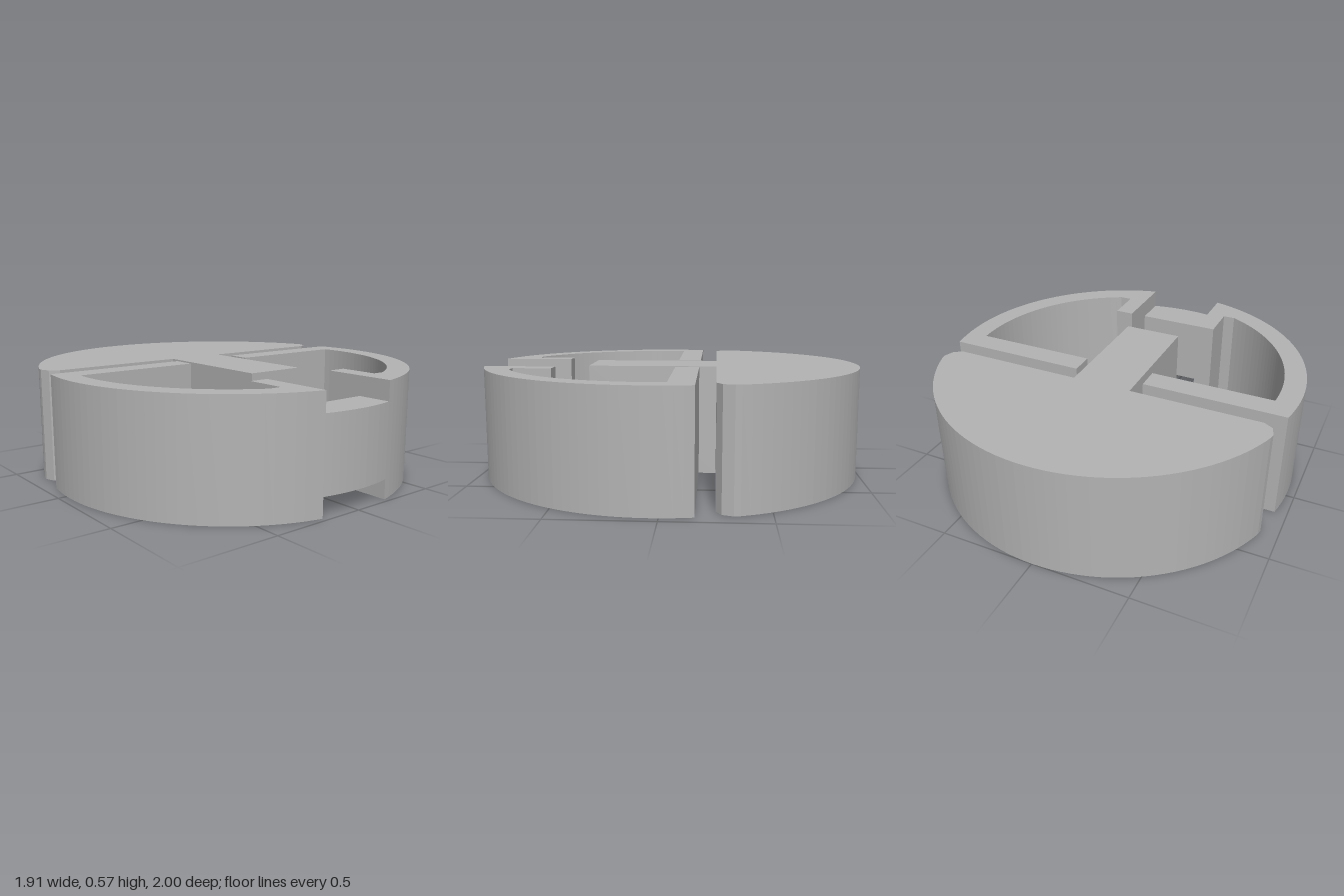
import * as THREE from 'three';

const R = 0.957, RI = 0.844, CZ = 0.043; // outer radius, inner radius, centre offset
const H = 0.575;

// Points on a circle about (cx, cz) in plan (x, z), from angle a0 to a1
function arc(cx, cz, r, a0, a1, n) {
  const pts = [];
  for (let i = 0; i <= n; i++) {
    const a = a0 + (a1 - a0) * i / n;
    pts.push([cx + r * Math.cos(a), cz + r * Math.sin(a)]);
  }
  return pts;
}

// Raise a plan outline (x, z) from y0 to y1; side = -1 mirrors it in x
function slab(name, pts, y0, y1, material, side = 1) {
  const shape = new THREE.Shape(pts.map(([x, z]) => new THREE.Vector2(x * side, z)));
  const geo = new THREE.ExtrudeGeometry(shape, { depth: y1 - y0, bevelEnabled: false });
  geo.rotateX(Math.PI / 2);
  geo.translate(0, y1, 0);
  const mesh = new THREE.Mesh(geo, material);
  mesh.name = name;
  return mesh;
}

export function createModel() {
  const group = new THREE.Group();
  group.name = 'springLatch';
  const grey = new THREE.MeshStandardMaterial({ color: 0xb3b3b3 });
  grey.name = 'grey';

  // Push button: disc segment with softened corners and a central stem
  const bz = -0.355;
  const a = Math.asin((bz + CZ) / R);
  const corner = [[0.91, -0.325], [0.892, -0.272], [0.845, -0.245]];
  const button = [
    ...arc(0, -CZ, R, -Math.PI - a, -Math.PI * 2 - a - (-Math.PI * 2 - 2 * a), 48),
    ...corner,
    [0.157, -0.245], [0.157, 0.43], [-0.157, 0.43], [-0.157, -0.245],
    ...corner.map(([x, z]) => [-x, z]).reverse(),
  ];
  group.add(slab('pushButton', button, 0, H, grey));

  // Half of the housing: curved wall, back bar and front post
  const ang = (r, z) => Math.asin((z - CZ) / r);
  const half = [
    ...arc(0, CZ, R, Math.acos(0.21 / R), ang(R, -0.155), 32),
    [0.19, -0.155], [0.19, -0.03],
    ...arc(0, CZ, RI, ang(RI, -0.03), ang(RI, 0.8), 28),
    [0.31, 0.8], [0.31, 0.6], [0.21, 0.6],
  ];

  // Zigzag spring: five arms joined alternately, slots with round ends
  const T = 0.035, P = 0.096, Z0 = 0.03, G = (P - T) / 2;
  const z = (k) => Z0 + k * P;
  const outerSlot = (k) => arc(0.66 - G, z(k) + T + G, G, Math.PI / 2, -Math.PI / 2, 8);
  const innerSlot = (k) => arc(0.245 + G, z(k) + T + G, G, -Math.PI / 2, -Math.PI * 1.5, 8);
  const spring = [
    [0.15, z(0)], [0.69, z(0)], [0.69, z(1) + T],
    ...innerSlot(1),
    [0.69, z(2)], [0.69, z(3) + T],
    ...innerSlot(3),
    [0.775, z(4)], [0.755, z(4) + T], [0.215, z(4) + T], [0.215, z(3)],
    ...outerSlot(2),
    [0.215, z(2) + T], [0.215, z(1)],
    ...outerSlot(0),
    [0.15, z(0) + T],
  ];

  for (const [label, side] of [['left', 1], ['right', -1]]) {
    group.add(slab(label + 'Housing', half, 0, H, grey, side));
    group.add(slab(label + 'Spring', spring, 0, 0.19, grey, side));
  }

  // Recessed bridge joining the housing halves at the front
  const b = Math.acos(0.21 / R);
  const bridge = [[-0.21, 0.8], [0.21, 0.8], ...arc(0, CZ, R, b, Math.PI - b, 10)];
  group.add(slab('frontBridge', bridge, 0.1, 0.475, grey));

  return group;
}
